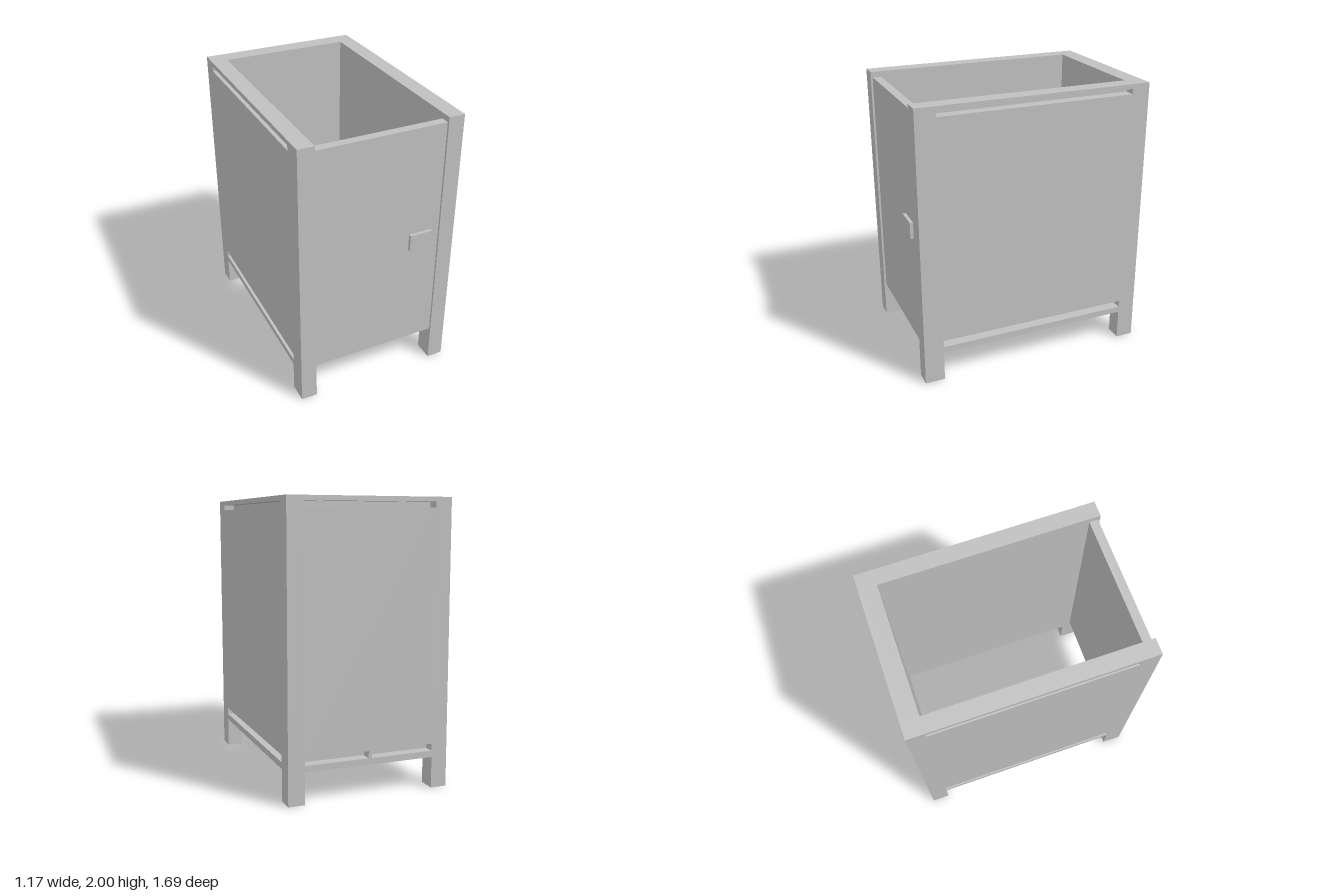
import * as THREE from 'three';

export function createModel() {
  const model = new THREE.Group();
  model.name = 'cabinet';
  const grey = new THREE.MeshStandardMaterial({ color: 0xc0c0c0 });
  grey.name = 'grey';

  // Outer extents, inner opening and leg limits
  const X = 0.583, XI = 0.467, FRONT = 0.837, BACK = -0.845;
  const LEG_F = 0.695, LEG_B = -0.717, TOP = 2, RAIL = 0.22;

  const add = (name, geometry) => {
    const mesh = new THREE.Mesh(geometry, grey);
    mesh.name = name;
    model.add(mesh);
    return mesh;
  };
  const box = (name, x0, x1, y0, y1, z0, z1) =>
    add(name, new THREE.BoxGeometry(x1 - x0, y1 - y0, z1 - z0))
      .position.set((x0 + x1) / 2, (y0 + y1) / 2, (z0 + z1) / 2);

  // Wall with two long grooves in its outer face; outer face at x = 0, body toward -x
  const GROOVE = 0.08;
  const wall = (name, thickness, length) => {
    const profile = [
      [-thickness, RAIL], [0, RAIL],
      [0, 0.265], [-GROOVE, 0.265], [-GROOVE, 0.315], [0, 0.315],
      [0, 1.93], [-GROOVE, 1.93], [-GROOVE, 1.967], [0, 1.967],
      [0, TOP], [-thickness, TOP],
    ].map(([x, y]) => new THREE.Vector2(x, y));
    const geometry = new THREE.ExtrudeGeometry(new THREE.Shape(profile), { depth: length, bevelEnabled: false });
    geometry.translate(0, 0, -length / 2);
    return add(name, geometry);
  };

  for (const [side, s] of [['left', 1], ['right', -1]]) {
    const x0 = Math.min(s * XI, s * X), x1 = Math.max(s * XI, s * X);
    // Full-height corner posts that end as legs
    box(side + 'FrontLeg', x0, x1, 0, TOP, LEG_F, FRONT);
    box(side + 'BackLeg', x0, x1, 0, TOP, BACK, LEG_B);
    const w = wall(side + 'Wall', X - XI, LEG_F - LEG_B);
    w.position.set(s * X, 0, (LEG_F + LEG_B) / 2);
    if (s < 0) w.rotation.y = Math.PI;
  }

  // Back wall, with a small divider in its lower groove
  const back = wall('backWall', LEG_B - BACK, 2 * XI);
  back.rotation.y = Math.PI / 2;
  back.position.z = BACK;
  box('grooveDivider', -0.012, 0.012, 0.265, 0.315, BACK, BACK + GROOVE);

  // Recessed door and its handle plate
  box('door', -XI, XI, 0.265, 1.96, 0.76, 0.822);
  box('handle', 0.235, 0.403, 1.05, 1.17, 0.822, 0.845);

  return model;
}
